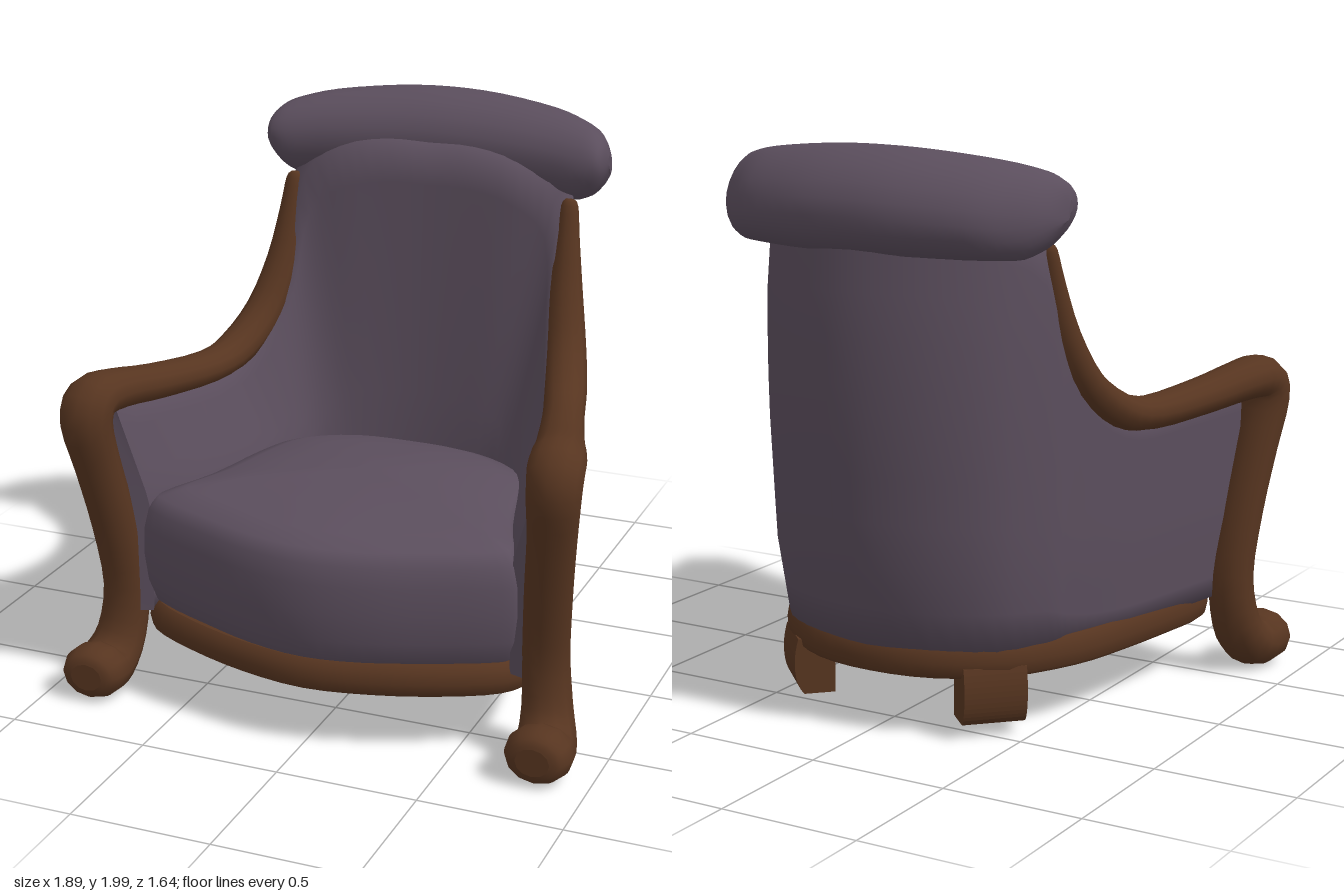
import * as THREE from 'three';

const fabric = new THREE.MeshStandardMaterial({ color: 0x5b4e5d });
fabric.name = 'mauve fabric';
const wood = new THREE.MeshStandardMaterial({ color: 0x573520 });
wood.name = 'brown wood';

// Smoothly interpolates rows of numbers (Catmull-Rom), with `steps` samples per span
function spline(rows, steps, closed = false) {
  const n = rows.length, out = [];
  const at = i => closed ? rows[(i + n) % n] : rows[Math.min(n - 1, Math.max(0, i))];
  for (let i = 0; i < (closed ? n : n - 1); i++) {
    for (let s = 0; s < steps; s++) {
      const t = s / steps;
      out.push(rows[0].map((_, c) => {
        const a = at(i - 1)[c], b = at(i)[c], d = at(i + 1)[c], e = at(i + 2)[c];
        return b + 0.5 * t * (d - a + t * (2 * a - 5 * b + 4 * d - e + t * (3 * (b - d) + e - a)));
      }));
    }
  }
  if (!closed) out.push(rows[n - 1]);
  return out;
}

// Piecewise linear lookup in [key, value] pairs
function lookup(pairs, k) {
  for (let i = 1; i < pairs.length; i++) {
    const [a, va] = pairs[i - 1], [b, vb] = pairs[i];
    if (k <= b) return va + (vb - va) * Math.max(0, (k - a) / (b - a));
  }
  return pairs[pairs.length - 1][1];
}

// Skins a list of closed rings of [x, y, z] and caps both ends, facing outward
function loft(rings) {
  const m = rings[0].length, pos = rings.flat(2), idx = [];
  for (let i = 0; i < rings.length - 1; i++) {
    for (let j = 0; j < m; j++) {
      const a = i * m + j, b = i * m + (j + 1) % m;
      idx.push(a, b, a + m, b, b + m, a + m);
    }
  }
  [rings[0], rings[rings.length - 1]].forEach((ring, end) => {
    const base = pos.length / 3;
    pos.push(...ring.flat());
    const tris = THREE.ShapeUtils.triangulateShape(flatten(ring), []);
    // orient each cap against the wall's edge direction
    const forward = tris.some(t => t.some((v, k) => t[(k + 1) % 3] === (v + 1) % m));
    tris.forEach(([a, b, c]) => {
      if (forward === (end === 0)) idx.push(base + a, base + c, base + b);
      else idx.push(base + a, base + b, base + c);
    });
  });
  // signed volume decides the winding
  let volume = 0;
  const p = i => new THREE.Vector3().fromArray(pos, i * 3);
  for (let i = 0; i < idx.length; i += 3) volume += p(idx[i]).dot(p(idx[i + 1]).cross(p(idx[i + 2])));
  if (volume < 0) idx.reverse();
  const g = new THREE.BufferGeometry();
  g.setAttribute('position', new THREE.Float32BufferAttribute(pos, 3));
  g.setIndex(idx);
  g.computeVertexNormals();
  return g;
}

// Drops the axis in which a ring is thinnest, for triangulating its cap
function flatten(ring) {
  const span = [0, 1, 2].map(c => Math.max(...ring.map(q => q[c])) - Math.min(...ring.map(q => q[c])));
  const keep = [0, 1, 2].filter(c => c !== span.indexOf(Math.min(...span)));
  return ring.map(q => new THREE.Vector2(q[keep[0]], q[keep[1]]));
}

// Mirrors a half plan outline that runs from front centre to back centre
function mirroredPlan(half) {
  const other = half.slice(1, -1).reverse().map(([x, z]) => [-x, z]);
  return spline([...half, ...other], 3, true);
}

// Stacks a plan outline at several [height, scale] levels
function stack(plan, levels, cz) {
  return loft(levels.map(([y, s]) => plan.map(([x, z]) => [x * s, y, cz + (z - cz) * s])));
}

// Carved arm: foot, front leg, armrest and upright in one sweep
function armGeometry(side) {
  const path = spline([ // x, y, z, radius
    [0.825, 0.11, 0.8, 0.05], [0.825, 0.11, 0.785, 0.08], [0.825, 0.11, 0.73, 0.098],
    [0.82, 0.11, 0.64, 0.088], [0.8, 0.2, 0.57, 0.076], [0.785, 0.38, 0.55, 0.07],
    [0.8, 0.62, 0.59, 0.07], [0.825, 0.85, 0.645, 0.071], [0.84, 1.02, 0.685, 0.078],
    [0.835, 1.1, 0.645, 0.08], [0.805, 1.1, 0.52, 0.072], [0.75, 1.075, 0.34, 0.065],
    [0.675, 1.055, 0.08, 0.06], [0.63, 1.09, -0.08, 0.062], [0.585, 1.2, -0.22, 0.058],
    [0.55, 1.37, -0.31, 0.05], [0.535, 1.55, -0.36, 0.036], [0.53, 1.66, -0.385, 0.027],
    [0.53, 1.685, -0.39, 0.012],
  ], 3);
  const rings = path.map((q, i) => {
    const a = path[Math.max(0, i - 1)], b = path[Math.min(path.length - 1, i + 1)];
    const t = new THREE.Vector3(b[0] - a[0], b[1] - a[1], b[2] - a[2]).normalize();
    const n = new THREE.Vector3(1, 0, 0).addScaledVector(t, -t.x).normalize();
    const w = t.clone().cross(n);
    return Array.from({ length: 12 }, (_, k) => {
      const c = Math.cos(k * Math.PI / 6) * q[3] * 1.2, s = Math.sin(k * Math.PI / 6) * q[3];
      return [side * (q[0] + n.x * c + w.x * s), q[1] + n.y * c + w.y * s, q[2] + n.z * c + w.z * s];
    });
  });
  return loft(rings);
}

// Wraparound upholstered sides and back
function shellGeometry() {
  const half = [ // outer x z, inner x z at the seat, inner x z at the top, height
    [0.79, 0.6, 0.665, 0.57, 0.77, 0.6, 1.05], [0.73, 0.3, 0.565, 0.3, 0.7, 0.3, 1.04],
    [0.67, 0.02, 0.485, 0.02, 0.62, 0.02, 1.04], [0.62, -0.17, 0.435, -0.11, 0.55, -0.15, 1.14],
    [0.58, -0.31, 0.38, -0.19, 0.51, -0.28, 1.36], [0.545, -0.42, 0.3, -0.235, 0.48, -0.36, 1.68],
    [0.435, -0.6, 0.2, -0.26, 0.34, -0.37, 1.8], [0.24, -0.73, 0.1, -0.275, 0.17, -0.38, 1.84],
    [0, -0.78, 0, -0.28, 0, -0.385, 1.84],
  ];
  const flip = r => r.map((v, c) => (c === 0 || c === 2 || c === 4 ? -v : v));
  const columns = spline([...half, ...half.slice(0, -1).reverse().map(flip)], 3);
  const taper = [[0.3, 0.85], [0.6, 0.95], [1.1, 1], [1.45, 1], [1.8, 0.94]];
  const rows = 10;
  return loft(columns.map(([xo, zo, xi, zi, xt, zt, h]) => {
    const outer = [], inner = [];
    for (let i = 0; i <= rows; i++) {
      const y = 0.3 + (h - 0.3) * i / rows, k = lookup(taper, y);
      const f = Math.max(0, (y - 0.7) / (h - 0.7));
      outer.push([xo * (0.7 + 0.3 * k), y, zo < 0 ? zo * k : zo]);
      inner.unshift([xi + (xt - xi) * f, y, zi + (zt - zi) * f]);
    }
    return [...outer, ...inner];
  }));
}

// Curved roll along the top of the back
function headrestGeometry() {
  const half = [ // x, front z, back z, centre y, half height
    [0, -0.385, -0.825, 1.825, 0.175], [0.2, -0.38, -0.81, 1.82, 0.172], [0.42, -0.365, -0.745, 1.81, 0.158],
    [0.54, -0.355, -0.665, 1.8, 0.142], [0.6, -0.36, -0.605, 1.81, 0.108], [0.635, -0.38, -0.54, 1.82, 0.062],
    [0.65, -0.44, -0.47, 1.82, 0.02],
  ];
  const left = half.slice(1).reverse().map(([x, ...rest]) => [-x, ...rest]);
  return loft(spline([...left, ...half], 3).map(([x, zf, zb, cy, ry]) =>
    Array.from({ length: 20 }, (_, k) => {
      const c = Math.cos(k * Math.PI / 10), s = Math.sin(k * Math.PI / 10);
      // the back of the roll sags a little
      return [x, cy + s * ry - 0.04 * Math.max(0, -c), (zf + zb) / 2 + c * (zf - zb) / 2];
    })));
}

export function createModel() {
  const chair = new THREE.Group();
  chair.name = 'armchair';
  const add = (name, geometry, material) => {
    const mesh = new THREE.Mesh(geometry, material);
    mesh.name = name;
    chair.add(mesh);
    return mesh;
  };

  add('upholsteredShell', shellGeometry(), fabric);
  add('headrest', headrestGeometry(), fabric);

  // Domed seat cushion with a bowed front
  const cushionPlan = mirroredPlan([[0, 0.82], [0.22, 0.785], [0.45, 0.7], [0.65, 0.61], [0.695, 0.54],
    [0.6, 0.3], [0.53, 0], [0.45, -0.17], [0.25, -0.28], [0, -0.3]]);
  add('seatCushion', stack(cushionPlan, [[0.32, 0.91], [0.345, 0.95], [0.42, 0.985], [0.52, 1], [0.62, 0.995],
    [0.69, 0.975], [0.735, 0.93], [0.765, 0.8], [0.79, 0.55], [0.805, 0.25], [0.808, 0.05]], 0.2), fabric);

  // Wooden base rail with a closed underside
  const railPlan = mirroredPlan([[0, 0.81], [0.25, 0.77], [0.48, 0.69], [0.66, 0.59], [0.72, 0.47],
    [0.705, 0.3], [0.655, 0], [0.59, -0.25], [0.45, -0.49], [0.24, -0.635], [0, -0.675]]);
  add('baseRail', stack(railPlan, [[0.22, 0.965], [0.235, 0.99], [0.275, 1], [0.315, 0.99], [0.335, 0.965]], 0), wood);

  // Back feet: upright blocks with a bulging face turned to the rear corners
  const profile = new THREE.Shape();
  profile.moveTo(-0.07, 0.06);
  profile.lineTo(0.04, 0.06);
  profile.bezierCurveTo(0.075, 0.09, 0.085, 0.18, 0.06, 0.26);
  profile.lineTo(-0.07, 0.26);
  profile.closePath();
  const footGeometry = new THREE.ExtrudeGeometry(profile, { depth: 0.22, bevelEnabled: false });
  footGeometry.translate(0, 0, -0.11);

  for (const side of [1, -1]) {
    const word = side > 0 ? 'left' : 'right';
    add(word + 'Arm', armGeometry(side), wood);
    const foot = add(word + 'BackFoot', footGeometry, wood);
    foot.position.set(side * 0.37, 0, -0.475);
    foot.rotation.y = Math.PI / 2 - side * Math.PI / 4;
  }
  return chair;
}
